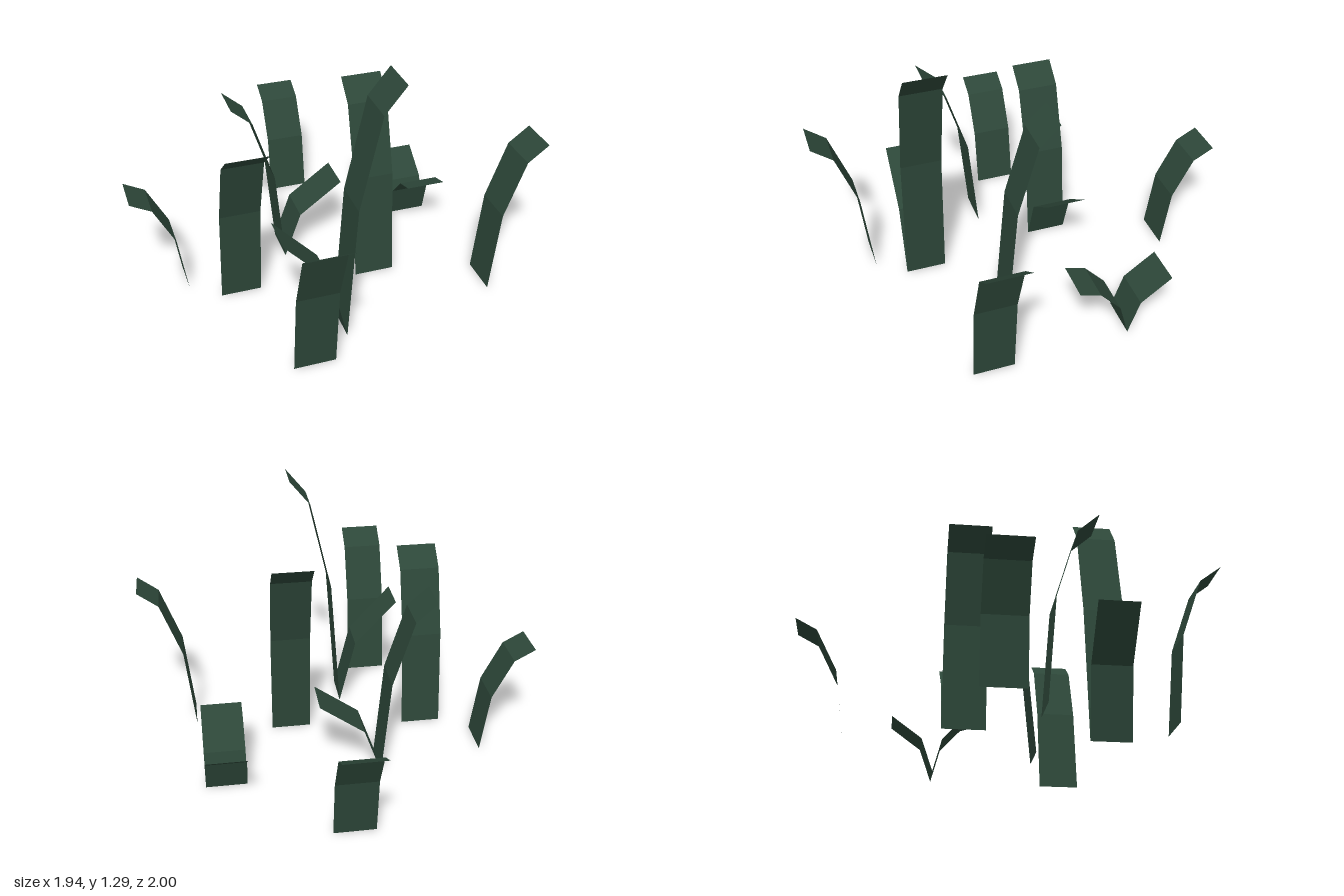
import * as THREE from 'three';

const WIDTH = 0.203;

// Side profiles as fractions: [reach, height] from root to tip
const ARCHED = [[0, 0], [0.18, 0.54], [0.59, 0.9], [1, 1]];
const FOLDED = [[0, 0], [0.28, 0.6], [1, 1]];

// Headings the blades lean towards
const FRONT = 0, BACK = Math.PI, LEFT = Math.PI / 2, RIGHT = -Math.PI / 2;

// A flat strip whose rows follow a bent profile, leaning towards local +z
function bladeGeometry(profile, reach, height) {
  const rows = profile.length - 1;
  const geometry = new THREE.PlaneGeometry(WIDTH, 1, 1, rows);
  const pos = geometry.attributes.position;
  for (let i = 0; i < pos.count; i++) {
    const [r, h] = profile[rows - Math.floor(i / 2)];
    pos.setY(i, h * height);
    pos.setZ(i, r * reach);
  }
  geometry.computeVertexNormals();
  return geometry;
}

export function createModel() {
  const group = new THREE.Group();
  group.name = 'grassClump';
  const material = new THREE.MeshStandardMaterial({
    color: 0x2d4739, flatShading: true, side: THREE.DoubleSide,
  });

  function addBlade(name, profile, reach, [x, z, heading, height]) {
    const blade = new THREE.Mesh(bladeGeometry(profile, reach, height), material);
    blade.name = name;
    blade.position.set(x, 0, z);
    blade.rotation.y = heading;
    group.add(blade);
  }

  // Tall arched blades: root x, root z, heading, height
  [
    [-0.477, 0.125, FRONT, 0.925],
    [-0.287, 0.745, FRONT, 0.79],
    [0.59, -0.305, FRONT, 0.315],
    [0.027, -0.745, BACK, 0.56],
    [0.217, 0.175, BACK, 1.02],
    [-0.72, -0.08, RIGHT, 0.56],
    [-0.18, -0.2, RIGHT, 0.912],
    [0.715, 0.383, LEFT, 0.79],
    [-0.08, 0.502, LEFT, 1.295],
  ].forEach((b, i) => addBlade(`archedBlade${i + 1}`, ARCHED, 0.255, b));

  // Short folded blades sharing a root with an arched one
  addBlade('foldedBlade1', FOLDED, 0.306, [-0.18, -0.2, LEFT, 0.4]);
  addBlade('foldedBlade2', FOLDED, 0.306, [-0.08, 0.502, RIGHT, 0.585]);
  addBlade('foldedBlade3', FOLDED, 0.216, [0.59, -0.305, BACK, 0.285]);

  return group;
}
